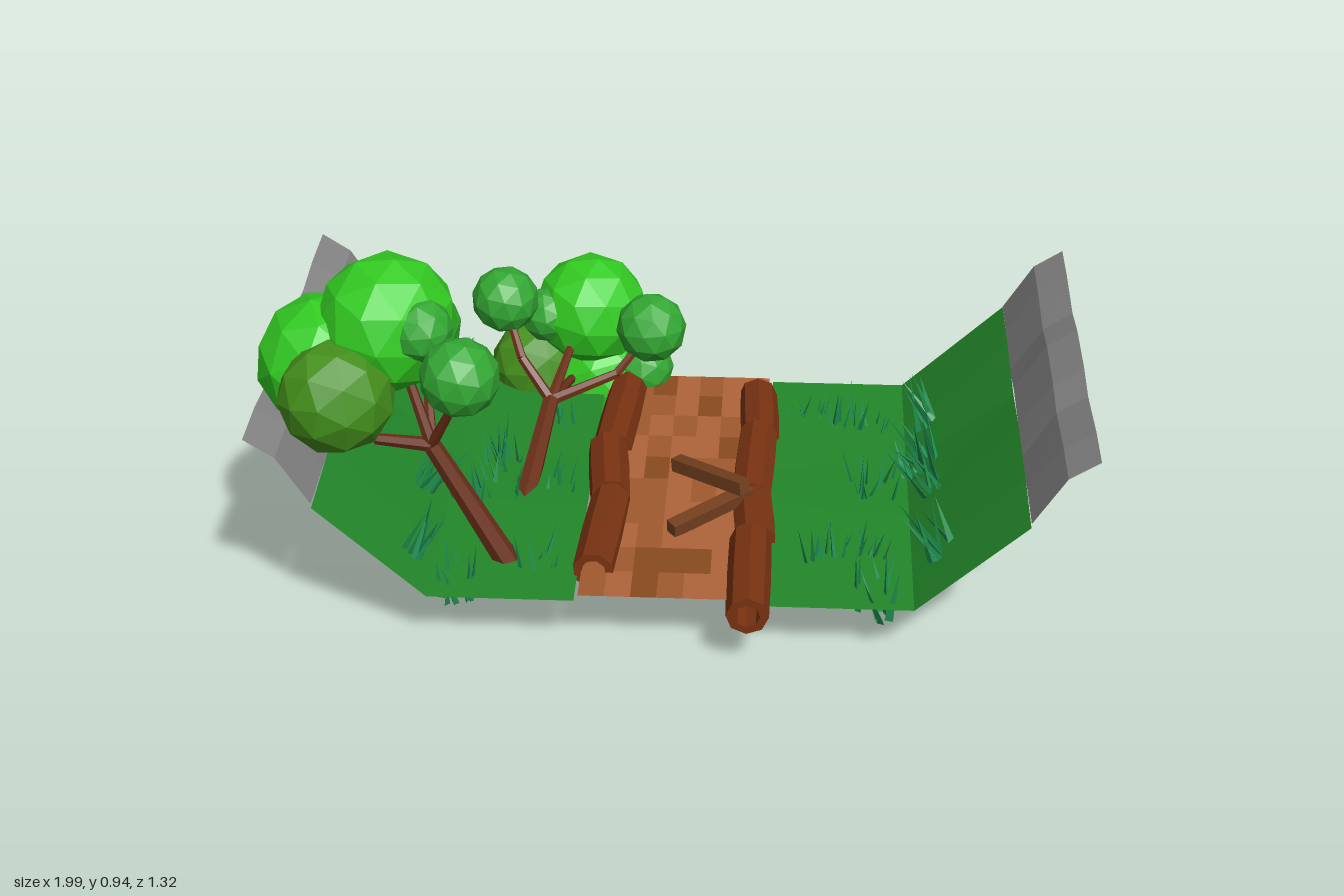
import * as THREE from 'three';
import { mergeGeometries } from 'three/addons/utils/BufferGeometryUtils.js';

const mat = (color) => new THREE.MeshStandardMaterial({ color, flatShading: true, side: THREE.DoubleSide });
const M = {
  grass: mat(0x23882a), rock: mat(0x858585), log: mat(0x7a3312), plank: mat(0x74401f), trunk: mat(0x6b3018),
  bright: mat(0x33cc22), leaf: mat(0x33a833), olive: mat(0x45901c), blade: mat(0x1f8f50),
};
const V = (a) => new THREE.Vector3(...a);
const UP = new THREE.Vector3(0, 1, 0);

let seed = 7;
const rnd = (a = -1, b = 1) => {
  seed = (seed * 16807) % 2147483647;
  return a + (b - a) * (seed / 2147483647);
};

function add(parent, name, geometry, material) {
  const mesh = new THREE.Mesh(geometry, material);
  mesh.name = name;
  parent.add(mesh);
  return mesh;
}

// Open surface: a cross-section [x, y] swept along z, gently uneven
function sheet(profile, rows, wobble) {
  const g = new THREE.PlaneGeometry(1, 1, profile.length - 1, rows);
  const p = g.attributes.position;
  for (let i = 0; i < p.count; i++) {
    const [x, y] = profile[i % profile.length];
    const r = Math.floor(i / profile.length);
    const edge = r === 0 || r === rows;
    const dy = wobble * Math.sin(r * 2.1 + 0.6) * (y > 0.3 ? 1 : 0.4);
    p.setXYZ(i, x, y + dy, -0.45 + 1.05 * r / rows + (edge ? 0 : 0.02 * Math.sin(r * 3 + x * 9)));
  }
  const flat = g.toNonIndexed();
  flat.computeVertexNormals();
  return flat;
}

// Tapered limb between two points
function limb(a, b, r0, r1, sides = 6) {
  const A = V(a), B = V(b), d = B.clone().sub(A);
  const g = new THREE.CylinderGeometry(r1, r0, d.length(), sides);
  g.applyQuaternion(new THREE.Quaternion().setFromUnitVectors(UP, d.normalize()));
  const c = A.add(B).multiplyScalar(0.5);
  return g.translate(c.x, c.y, c.z);
}

// Tree: limbs [from, to, startRadius, endRadius], crowns [centre, radius, material]
function tree(name, limbs, crowns) {
  const g = new THREE.Group();
  g.name = name;
  add(g, 'trunkAndBranches', mergeGeometries(limbs.map((l) => limb(...l))), M.trunk);
  crowns.forEach(([c, r, m], i) => {
    const ball = add(g, 'foliage' + i, new THREE.IcosahedronGeometry(r, 1), M[m]);
    ball.position.set(...c);
    ball.rotation.set(i * 0.7, i * 1.3, 0.4);
  });
  return g;
}

// Tuft of pointed blades growing along a direction
function tuft(x, y, z, dir, n, spread) {
  const q = new THREE.Quaternion(), blades = [];
  for (let i = 0; i < n; i++) {
    const h = rnd(0.1, 0.18);
    const b = new THREE.ConeGeometry(0.012, h, 3).scale(1, 1, 0.6).rotateY(rnd(0, 6));
    b.translate(0, h / 2, 0);
    const d = V(dir).add(V([rnd(), rnd(), rnd()]).multiplyScalar(0.3)).normalize();
    b.applyQuaternion(q.setFromUnitVectors(UP, d));
    blades.push(b.translate(x + rnd() * spread, y + rnd() * 0.015, z + rnd() * spread));
  }
  return mergeGeometries(blades);
}

// Row of hollow log sections along z: [x, startZ, endZ, yaw]
function logRow(name, sections, y) {
  const g = new THREE.Group();
  g.name = name;
  sections.forEach(([x, z0, z1, yaw], i) => {
    const h = (z1 - z0) / 2, ro = 0.052, ri = 0.031;
    const profile = [[ri, -h], [ro, -h], [ro * 1.04, 0], [ro, h], [ri, h], [ri, -h]].map((p) => new THREE.Vector2(...p));
    const log = add(g, 'logSection' + i, new THREE.LatheGeometry(profile, 8).rotateX(Math.PI / 2), M.log);
    log.position.set(x, y + (i % 2 ? 0.006 : 0), (z0 + z1) / 2);
    log.rotation.set(0.02 * (i % 2 ? 1 : -1), yaw, i * 0.25);
  });
  return g;
}

export function createModel() {
  const root = new THREE.Group();
  root.name = 'forestPath';

  // Grass banks and rocky rims on both sides
  const grass = [[0.23, 0.165], [0.585, 0.165], [0.845, 0.415]];
  const rock = [[0.845, 0.415], [0.92, 0.54], [0.992, 0.588]];
  const mirror = (p) => p.map(([x, y]) => [-x, y]).reverse();
  add(root, 'rightGrassBank', sheet(mirror(grass), 5, 0.008), M.grass);
  add(root, 'leftGrassBank', sheet(grass, 5, 0.008), M.grass);
  add(root, 'rightRockRim', sheet(mirror(rock), 7, 0.01), M.rock);
  add(root, 'leftRockRim', sheet(rock, 7, 0.01), M.rock);

  // Dirt path of patchwork tiles
  const tones = [0xb0643a, 0xa25a30, 0x8a4b1e];
  const tiles = [[], [], []];
  const cols = 7, rows = 10, w = 0.44 / cols, d = 1.05 / rows;
  for (let i = 0; i < cols; i++) for (let j = 0; j < rows; j++) {
    const k = rnd(0, 1);
    tiles[k < 0.5 ? 0 : k < 0.85 ? 1 : 2].push(new THREE.PlaneGeometry(w, d).rotateX(-Math.PI / 2)
      .translate(-0.22 + (i + 0.5) * w, 0.178, -0.45 + (j + 0.5) * d));
  }
  tiles.forEach((t, i) => t.length && add(root, 'pathTiles' + i, mergeGeometries(t), mat(tones[i])));

  // Hollow logs edging the path
  root.add(logRow('rightLogs', [[-0.175, -0.4, -0.06, -0.07], [-0.185, -0.06, 0.17, 0.1], [-0.18, 0.17, 0.5, -0.06]], 0.175));
  root.add(logRow('leftLogs', [[0.195, -0.38, -0.15, 0.04], [0.19, -0.15, 0.15, -0.04],
    [0.195, 0.15, 0.34, 0.06], [0.188, 0.34, 0.655, 0]], 0.168));

  // Loose crossed planks
  [[[-0.01, 0.195, 0.33], [0.18, 0.215, 0.18]], [[-0.01, 0.225, 0.07], [0.17, 0.265, 0.24]]].forEach(([a, b], i) =>
    add(root, 'loosePlank' + i, limb(a, b, 0.025, 0.025, 4), M.plank));

  // Leaning tree at the front
  const fork = [-0.58, 0.48, 0.42];
  root.add(tree('frontTree', [
    [[-0.39, 0.12, 0.43], fork, 0.032, 0.022],
    [fork, [-0.72, 0.48, 0.4], 0.018, 0.014], [[-0.72, 0.48, 0.4], [-0.84, 0.56, 0.37], 0.014, 0.01],
    [fork, [-0.66, 0.72, 0.36], 0.016, 0.01], [fork, [-0.525, 0.6, 0.47], 0.014, 0.011],
    [[-0.525, 0.6, 0.47], [-0.49, 0.71, 0.53], 0.011, 0.008], [fork, [-0.62, 0.65, 0.2], 0.014, 0.009],
  ], [
    [[-0.68, 0.775, 0.35], 0.17, 'bright'], [[-0.83, 0.67, 0.36], 0.17, 'bright'],
    [[-0.785, 0.655, 0.495], 0.14, 'olive'], [[-0.485, 0.74, 0.54], 0.095, 'leaf'],
    [[-0.59, 0.8, 0.43], 0.08, 'leaf'], [[-0.62, 0.68, 0.19], 0.092, 'leaf'],
  ]));

  // Fallen tree reaching over the back edge
  const split = [-0.36, 0.24, -0.2];
  root.add(tree('backTree', [
    [[-0.4, 0.13, 0.18], split, 0.03, 0.022], [split, [-0.44, 0.34, -0.25], 0.016, 0.013],
    [[-0.44, 0.34, -0.25], [-0.49, 0.45, -0.34], 0.013, 0.009], [split, [-0.3, 0.34, -0.46], 0.015, 0.01],
    [split, [-0.19, 0.28, -0.28], 0.016, 0.013], [[-0.19, 0.28, -0.28], [-0.1, 0.37, -0.36], 0.013, 0.009],
    [split, [-0.3, 0.18, -0.48], 0.015, 0.01],
  ], [
    [[-0.275, 0.36, -0.495], 0.155, 'bright'], [[-0.25, 0.16, -0.51], 0.158, 'bright'],
    [[-0.42, 0.185, -0.49], 0.135, 'olive'], [[-0.49, 0.465, -0.345], 0.09, 'leaf'],
    [[-0.1, 0.38, -0.36], 0.095, 'leaf'], [[-0.385, 0.37, -0.44], 0.077, 'leaf'],
    [[-0.13, 0.2, -0.46], 0.085, 'leaf'],
  ]));

  // Grass tufts on the flat ground
  [[0.32, -0.28], [0.42, -0.22], [0.49, -0.22], [0.37, 0.38], [0.48, 0.37], [0.49, 0.53], [0.5, 0.03], [0.5, 0.1],
    [-0.49, 0], [-0.46, 0.12], [-0.46, -0.06], [-0.33, -0.2], [-0.31, 0.1], [-0.33, 0.45], [-0.53, 0.2], [-0.52, 0.5]]
    .forEach(([x, z], i) => add(root, 'flatTuft' + i, tuft(x, 0.1, z, [0, 1, 0], 8, 0.04), M.blade));

  // Tufts growing outward from the slopes
  [[0.65, -0.16], [0.64, 0], [0.65, 0.14], [0.66, 0.45], [0.61, 0.03], [-0.64, -0.36], [-0.65, 0.2], [-0.64, 0.48]]
    .forEach(([x, z], i) => add(root, 'slopeTuft' + i,
      tuft(x, 0.145 + (Math.abs(x) - 0.585) * 0.96, z, [-Math.sign(x) * 0.45, 0.85, 0], 9, 0.03), M.blade));

  return root;
}
